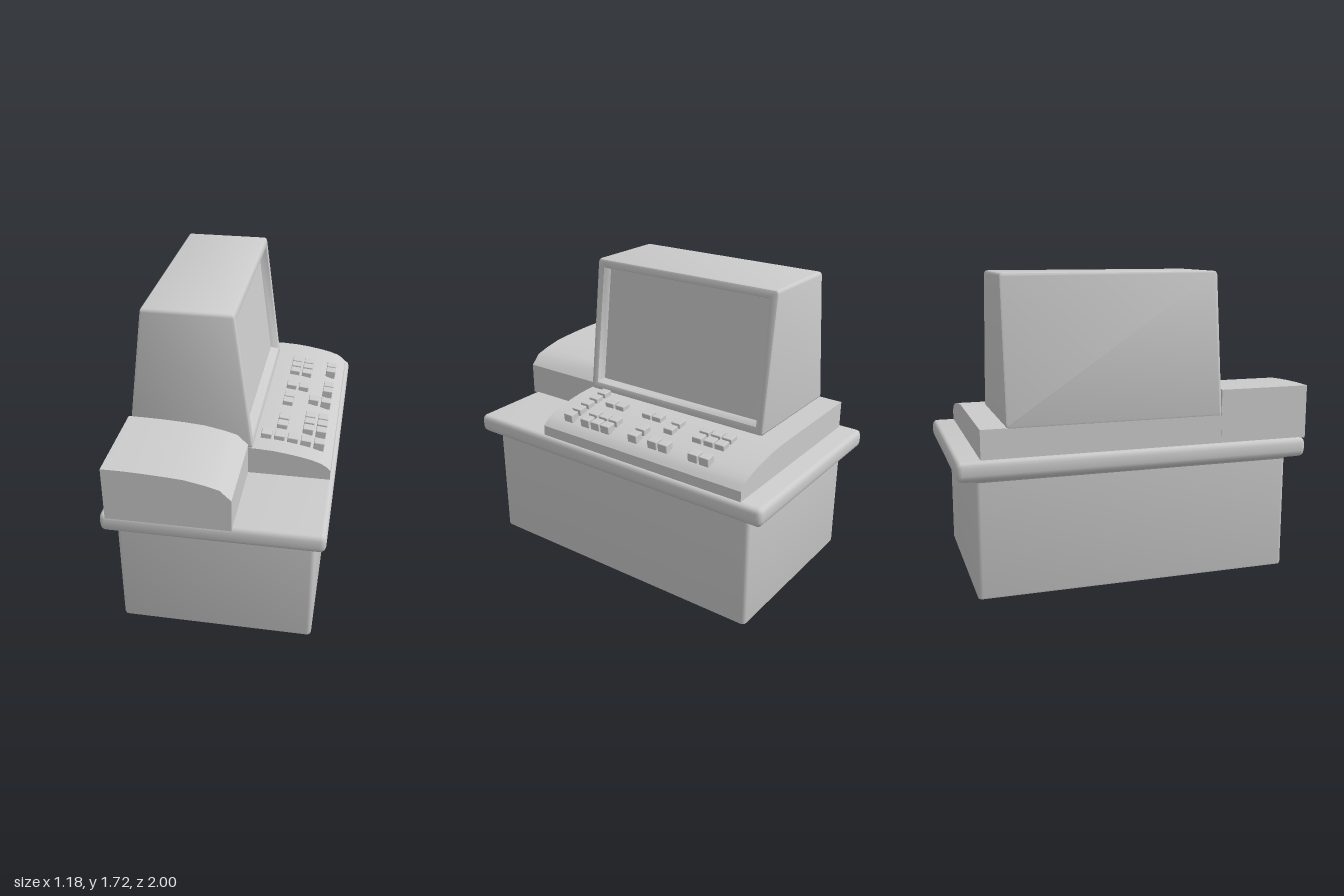
import * as THREE from 'three';
import { toCreasedNormals } from 'three/addons/utils/BufferGeometryUtils.js';
import { RoundedBoxGeometry } from 'three/addons/geometries/RoundedBoxGeometry.js';

const material = new THREE.MeshStandardMaterial({ color: 0xcccccc });

function part(name, geometry, crease = 0.6) {
  const mesh = new THREE.Mesh(crease ? toCreasedNormals(geometry, crease) : geometry, material);
  mesh.name = name;
  return mesh;
}

// Rounded rectangle, counter-clockwise, as [u, v] pairs
function roundedRect(u0, u1, v0, v1, inset, radius) {
  const r = Math.max(radius - inset, 0.004), n = 4, points = [];
  const corners = [[u1, v1, -1, -1], [u0, v1, 1, -1], [u0, v0, 1, 1], [u1, v0, -1, 1]];
  corners.forEach(([u, v, su, sv], q) => {
    for (let i = 0; i <= n; i++) {
      const a = (q + i / n) * Math.PI / 2;
      points.push([u + su * (inset + r) + r * Math.cos(a), v + sv * (inset + r) + r * Math.sin(a)]);
    }
  });
  return points;
}

// Skin a stack of equal rings of [x, y, z] points and cap both ends
function loft(rings) {
  const n = rings[0].length, last = rings.length - 1;
  const positions = rings.flat(2), index = [];
  for (let k = 0; k < last; k++) {
    for (let j = 0; j < n; j++) {
      const a = k * n + j, b = k * n + (j + 1) % n;
      index.push(a, b, b + n, a, b + n, a + n);
    }
  }
  for (let j = 1; j < n - 1; j++) {
    index.push(0, j + 1, j, last * n, last * n + j, last * n + j + 1);
  }
  const geometry = new THREE.BufferGeometry();
  geometry.setAttribute('position', new THREE.Float32BufferAttribute(positions, 3));
  geometry.setIndex(index);
  return geometry;
}

// Upright slab whose edge follows [inset, y] steps
function slab(x0, x1, z0, z1, radius, steps) {
  return loft(steps.map(([inset, y]) =>
    roundedRect(z0, z1, x0, x1, inset, radius).map(([z, x]) => [x, y, z])));
}

// Profile in x and y, extruded from z0 to z1
function extrudeProfile(points, z0, z1) {
  const shape = new THREE.Shape(points.map(([x, y]) => new THREE.Vector2(x, y)));
  return new THREE.ExtrudeGeometry(shape, { depth: z1 - z0, bevelEnabled: false }).translate(0, 0, z0);
}

// Tapered monitor housing with sunken screen, lofted from back to screen side
function monitorGeometry() {
  const y0 = 0.925, y1 = 1.715;
  const t = y => (y - y0) / (y1 - y0);
  const back = y => -0.56 + 0.105 * t(y);
  const front = y => 0.137 - 0.102 * t(y);
  const steps = [
    [back, 0.012, 0], [back, 0.003, 0.004], [back, 0, 0.013],
    [front, 0, -0.016], [front, 0.005, -0.005], [front, 0.016, 0],
    [front, 0.038, 0], [front, 0.046, -0.004], [front, 0.05, -0.014],
    [front, 0.062, -0.05],
  ];
  return loft(steps.map(([side, inset, d]) =>
    roundedRect(y0, y1, -0.735, 0.475, inset, 0.02).map(([y, z]) => [side(y) + d, y, z])));
}

export function createModel() {
  const model = new THREE.Group();

  // Pedestal and worktop
  model.add(part('pedestal', slab(-0.535, 0.53, -0.9, 0.89, 0.025,
    [[0.012, 0], [0.003, 0.004], [0, 0.014], [0, 0.645], [-0.008, 0.655], [-0.025, 0.67]])));
  model.add(part('worktop', slab(-0.595, 0.588, -1, 0.987, 0.03,
    [[0.035, 0.66], [0.016, 0.668], [0.004, 0.682], [0, 0.7], [0, 0.742], [0.005, 0.758], [0.014, 0.767], [0.026, 0.77]])));

  // Keyboard console with curved front
  model.add(part('keyboardConsole', extrudeProfile([
    [-0.555, 0.765], [0.565, 0.765], [0.565, 0.828], [0.54, 0.852], [0.51, 0.87], [0.46, 0.887],
    [0.4, 0.901], [0.32, 0.915], [0.24, 0.925], [0.14, 0.93], [-0.555, 0.93]], -0.87, 0.473)));

  // Curved side cabinet
  model.add(part('sideCabinet', extrudeProfile([
    [-0.555, 0.765], [0.11, 0.765], [0.11, 0.952], [0.05, 1.01], [-0.03, 1.032], [-0.13, 1.052],
    [-0.24, 1.061], [-0.35, 1.067], [-0.45, 1.07], [-0.555, 1.07]], 0.474, 1)));

  model.add(part('monitor', monitorGeometry()));

  // Keys: each row lists its z and the columns that are filled
  const columns = [0.192, 0.266, 0.34, 0.414, 0.488];
  const rows = [
    [-0.61, [1, 2, 4]], [-0.54, [1, 2, 4]], [-0.465, [1, 2]], [-0.345, [4]],
    [-0.275, [1, 2, 4]], [-0.14, [1, 3, 4]], [-0.07, [1]], [0.055, [3, 4]],
    [0.125, [1, 3, 4]], [0.2, [1, 3, 4]], [0.325, [0, 1, 2, 3, 4]],
  ];
  const keys = new THREE.Group();
  keys.name = 'keys';
  const keyGeometry = new RoundedBoxGeometry(0.06, 0.05, 0.06, 2, 0.005);
  for (const [z, filled] of rows) {
    for (const c of filled) {
      const key = part('key', keyGeometry, 0);
      key.position.set(columns[c], 0.933 - 0.0085 * c, z);
      key.rotation.z = -0.1;
      keys.add(key);
    }
  }
  model.add(keys);
  return model;
}
